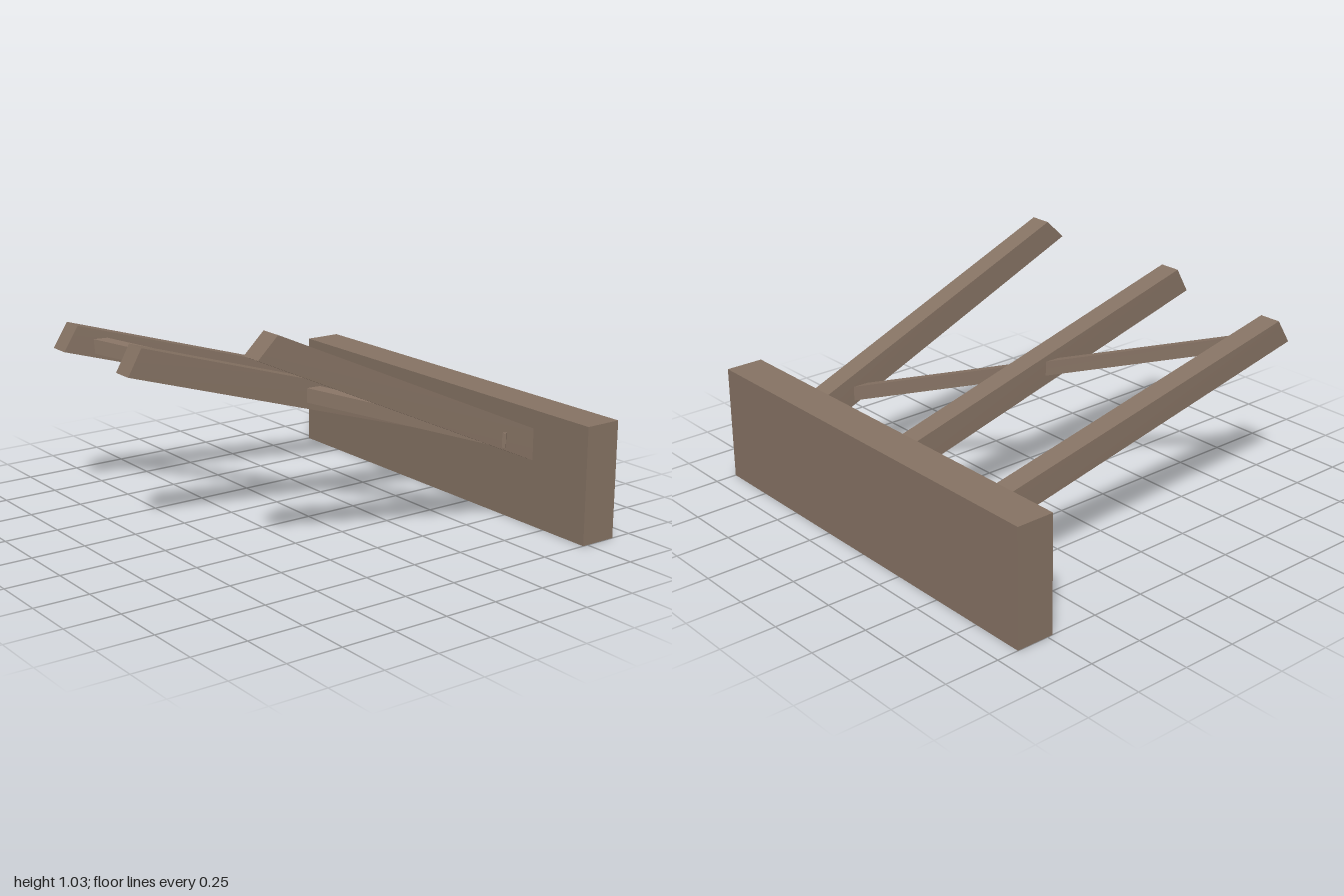
import * as THREE from 'three';

// Box whose eight corners are placed by corner(end, top, front), each 0 or 1
function hexBeam(name, material, corner) {
  const geometry = new THREE.BoxGeometry(1, 1, 1);
  const pos = geometry.attributes.position;
  for (let i = 0; i < pos.count; i++) {
    const [x, y, z] = corner(+(pos.getX(i) > 0), +(pos.getY(i) > 0), +(pos.getZ(i) > 0));
    pos.setXYZ(i, x, y, z);
  }
  geometry.computeVertexNormals();
  const mesh = new THREE.Mesh(geometry, material);
  mesh.name = name;
  return mesh;
}

export function createModel() {
  const group = new THREE.Group();
  group.name = 'brokenBeams';
  const wood = new THREE.MeshStandardMaterial({ color: 0x857263 });
  wood.name = 'weathered wood';

  // Heavy wall beam
  const wall = new THREE.Mesh(new THREE.BoxGeometry(0.175, 0.53, 2), wood);
  wall.name = 'wallBeam';
  wall.position.set(0.8125, 0.265, 0);
  group.add(wall);

  // Sloping rafters: [bottom, top] x and y at the free end, y at the wall, back z at both ends
  const wallX = 0.727;
  const rafters = [
    { name: 'frontRafter', x: [-0.68, -0.585], y: [0.94, 1.03], wallY: [0.30, 0.445], z: [0.51, 0.57] },
    { name: 'middleRafter', x: [-0.905, -0.84], y: [0.78, 0.895], wallY: [0.285, 0.42], z: [-0.10, -0.027] },
    { name: 'backRafter', x: [-0.84, -0.77], y: [0.745, 0.855], wallY: [0.285, 0.415], z: [-0.775, -0.633] },
  ];
  for (const r of rafters) {
    group.add(hexBeam(r.name, wood, (end, top, front) => [
      end ? wallX : r.x[top],
      end ? r.wallY[top] : r.y[top],
      r.z[end] + front * 0.1,
    ]));
  }

  // Thin diagonal brace running through the rafters
  const plan = [[[-0.687, -0.72], [-0.72, -0.69]], [[0.598, 0.64], [0.56, 0.674]]];
  group.add(hexBeam('diagonalBrace', wood, (end, top, front) => {
    const [x, z] = plan[end][front];
    return [x, 0.554 - 0.25 * z + top * 0.066, z];
  }));

  return group;
}
